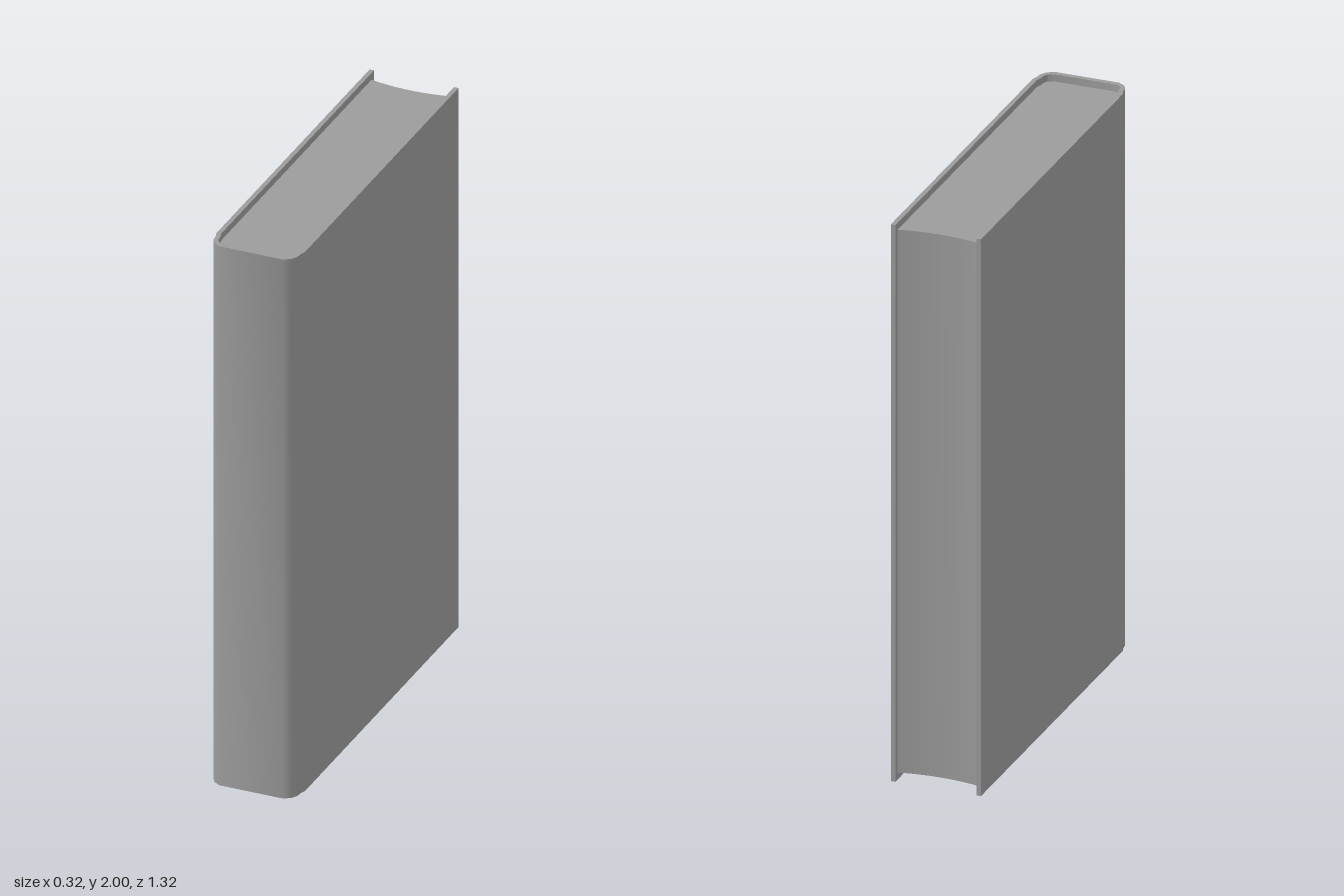
import * as THREE from 'three';
import { toCreasedNormals } from 'three/addons/utils/BufferGeometryUtils.js';

const HEIGHT = 2, INSET = 0.025, INNER_X = 0.143;

// Half profiles as [x, z], from the open edge round to the spine
const outerHalf = [[0.159, -0.66], [0.159, 0.57], [0.159, 0.58], [0.152, 0.6],
  [0.15, 0.622], [0.138, 0.643], [0.114, 0.658]];
const innerHalf = [[INNER_X, -0.66], [INNER_X, 0.565], [INNER_X, 0.575], [0.136, 0.598],
  [0.135, 0.615], [0.127, 0.631], [0.109, 0.639]];

// Complete a half profile by mirroring it in x
const mirrored = (half) => [...half, ...half.map(([x, z]) => [-x, z]).reverse()];

// Extrude an [x, z] outline upwards
function extrudeUp(outline, y, height, name) {
  const shape = new THREE.Shape(outline.map(([x, z]) => new THREE.Vector2(x, -z)));
  const geometry = new THREE.ExtrudeGeometry(shape, { depth: height, bevelEnabled: false });
  geometry.rotateX(-Math.PI / 2).translate(0, y, 0);
  const mesh = new THREE.Mesh(toCreasedNormals(geometry, 0.65),
    new THREE.MeshStandardMaterial({ color: 0x9c9c9c }));
  mesh.name = name;
  return mesh;
}

export function createModel() {
  const book = new THREE.Group();
  book.name = 'book';

  // Cover: both boards and the rounded spine in one folded sheet
  const cover = [...mirrored(outerHalf), ...mirrored(innerHalf).reverse()];
  book.add(extrudeUp(cover, 0, HEIGHT, 'cover'));

  // Page block: fills the cover, with a hollowed fore edge
  const foreEdge = [];
  const steps = 12;
  for (let i = 0; i <= steps; i++) {
    const t = -1 + (2 * i) / steps;
    foreEdge.push([INNER_X * t, -0.624 - 0.016 * t * t]);
  }
  const pages = [...foreEdge, ...mirrored(innerHalf.slice(1))];
  book.add(extrudeUp(pages, INSET, HEIGHT - 2 * INSET, 'pages'));

  return book;
}
